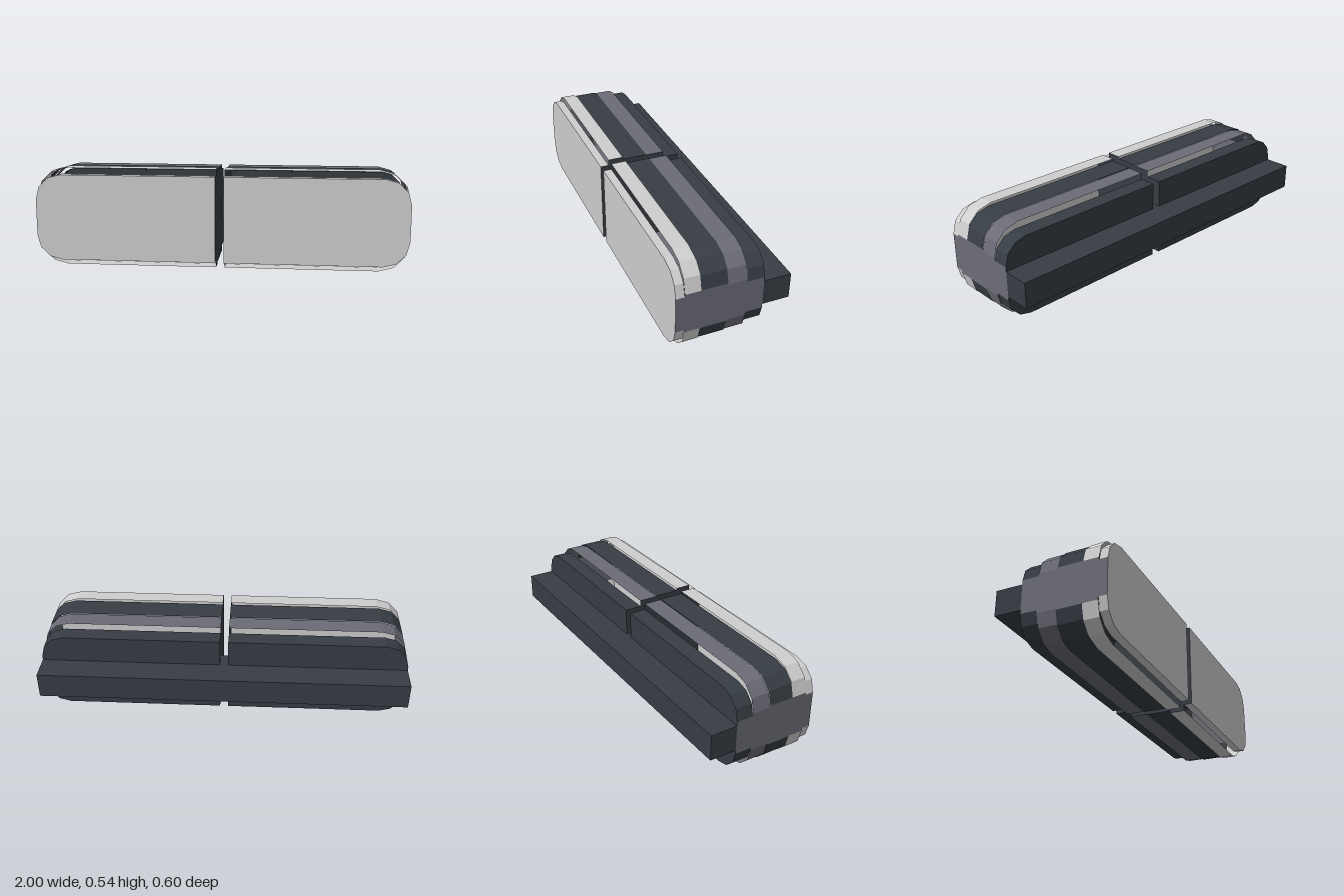
import * as THREE from 'three';

const mat = (name, color) => {
  const m = new THREE.MeshStandardMaterial({ color, side: THREE.DoubleSide });
  m.name = name;
  return m;
};

// Counter-clockwise outline of one half: rounded outer corners, square at the gap
function halfOutline(side, inner, y0, y1, r) {
  const pts = [[inner, y0]];
  const arc = (cy, from) => {
    for (let i = 0; i <= 3; i++) {
      const a = from + (i / 3) * (Math.PI / 2);
      pts.push([1 - r + r * Math.cos(a), cy + r * Math.sin(a)]);
    }
  };
  arc(y0 + r, -Math.PI / 2);
  arc(y1 - r, 0);
  pts.push([inner, y1]);
  const out = pts.map(([x, y]) => new THREE.Vector2(x * side, y));
  return side < 0 ? out.reverse() : out;
}

// Open wall around an outline; material 0 = band, 1 = outer end, 2 = gap wall
function wallGeometry(pts, z0, z1, inner) {
  const pos = [];
  const geo = new THREE.BufferGeometry();
  pts.forEach((p, i) => {
    const q = pts[(i + 1) % pts.length];
    const at = (x) => Math.abs(Math.abs(p.x) - x) < 1e-4 && Math.abs(Math.abs(q.x) - x) < 1e-4;
    pos.push(p.x, p.y, z0, q.x, q.y, z0, q.x, q.y, z1, p.x, p.y, z0, q.x, q.y, z1, p.x, p.y, z1);
    geo.addGroup(i * 6, 6, at(1) ? 1 : at(inner) ? 2 : 0);
  });
  geo.setAttribute('position', new THREE.Float32BufferAttribute(pos, 3));
  geo.computeVertexNormals();
  return geo;
}

export function createModel() {
  const model = new THREE.Group();
  model.name = 'splitPillBar';
  const light = mat('lightGrey', 0xcfcfcf);
  const grey = mat('slateGrey', 0x6b6c76);
  const dark = mat('charcoal', 0x373d44);

  // Stacked bands from front to back; only the outermost two are closed
  const bands = [
    { name: 'frontPlate', m: light, z: [0.255, 0.3], y: [0.035, 0.502], r: 0.135, cap: 0.3 },
    { name: 'lightRim', m: light, z: [0.172, 0.255], y: [0, 0.535], r: 0.155 },
    { name: 'darkBand', m: dark, z: [0.036, 0.172], y: [0.012, 0.523], r: 0.142 },
    { name: 'greyBand', m: grey, z: [-0.065, 0.036], y: [0.015, 0.52], r: 0.146 },
    { name: 'backPlate', m: dark, z: [-0.155, -0.065], y: [0.05, 0.486], r: 0.126, cap: -0.155 },
  ];

  for (const [side, inner, label] of [[1, 0.02, 'left'], [-1, 0.025, 'right']]) {
    const half = new THREE.Group();
    half.name = label + 'Half';
    for (const b of bands) {
      const pts = halfOutline(side, inner, b.y[0], b.y[1], b.r);
      const wall = new THREE.Mesh(wallGeometry(pts, b.z[0], b.z[1], inner), [b.m, grey, dark]);
      wall.name = b.name + 'Wall';
      half.add(wall);
      if (b.cap !== undefined) {
        const face = new THREE.Mesh(new THREE.ShapeGeometry(new THREE.Shape(pts)), b.m);
        face.name = b.name + 'Face';
        face.position.z = b.cap;
        half.add(face);
      }
    }
    model.add(half);
  }

  // Full-width rail along the back, with a bridge reaching into the gap
  const rail = new THREE.Mesh(new THREE.BoxGeometry(2, 0.14, 0.145), dark);
  rail.name = 'backRail';
  rail.position.set(0, 0.267, -0.2275);
  const bridge = new THREE.Mesh(new THREE.BoxGeometry(0.045, 0.14, 0.09), dark);
  bridge.name = 'gapBridge';
  bridge.position.set(-0.0025, 0.267, -0.11);
  model.add(rail, bridge);

  return model;
}
